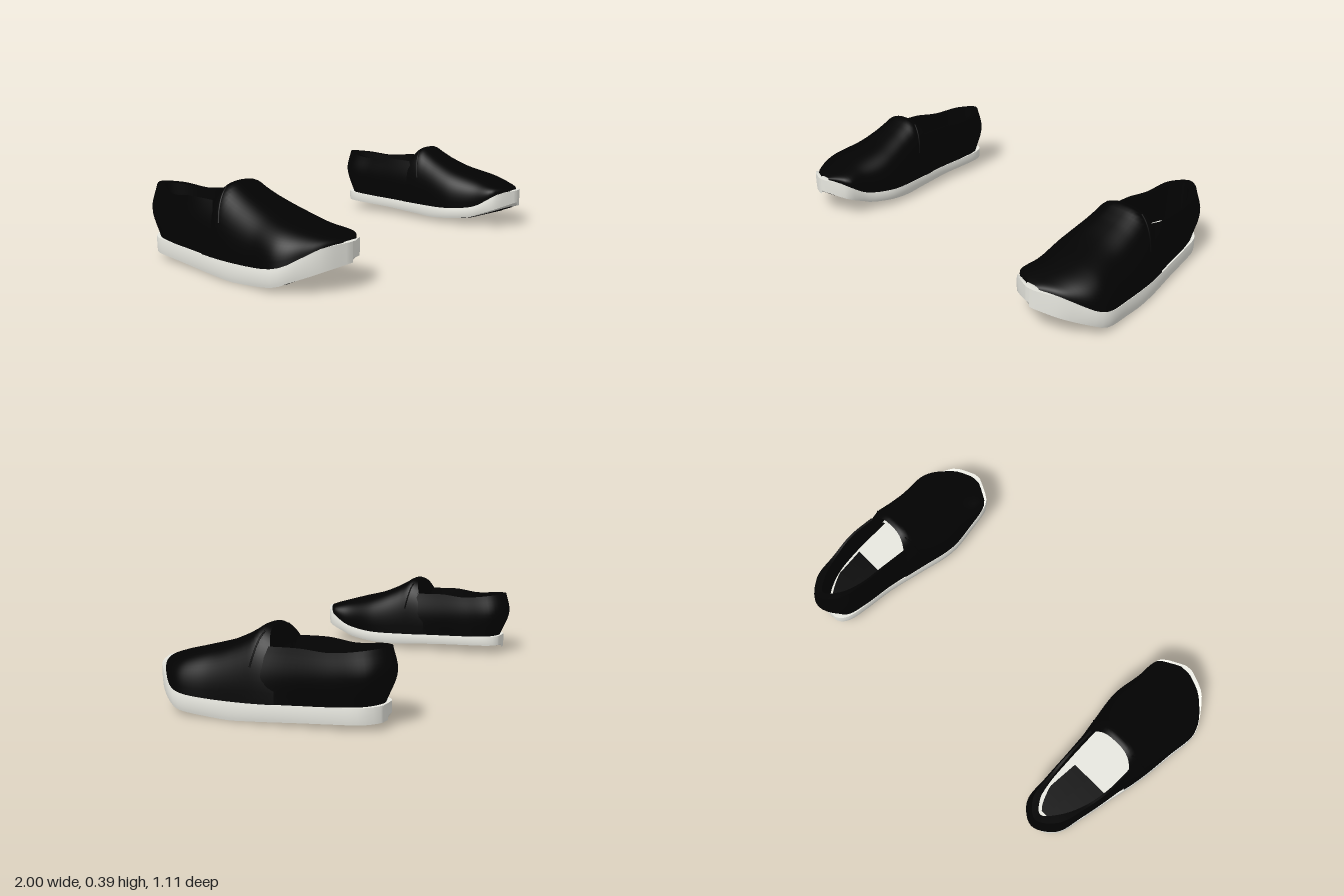
import * as THREE from 'three';

const mat = (name, color) => {
  const m = new THREE.MeshStandardMaterial({ color, side: THREE.DoubleSide });
  m.name = name;
  return m;
};

// Smooth interpolation through [z, value] pairs
function table(pts) {
  const slope = (i) => {
    const a = pts[Math.max(i - 1, 0)], b = pts[Math.min(i + 1, pts.length - 1)];
    return (b[1] - a[1]) / (b[0] - a[0]);
  };
  return (z) => {
    z = Math.min(Math.max(z, pts[0][0]), pts[pts.length - 1][0]);
    let i = 0;
    while (i < pts.length - 2 && z > pts[i + 1][0]) i++;
    const [z0, y0] = pts[i], [z1, y1] = pts[i + 1], d = z1 - z0, t = (z - z0) / d;
    const t2 = t * t, t3 = t2 * t;
    return (2 * t3 - 3 * t2 + 1) * y0 + (t3 - 2 * t2 + t) * d * slope(i)
      + (3 * t2 - 2 * t3) * y1 + (t3 - t2) * d * slope(i + 1);
  };
}

// Outline and heights of the shoe along its length
const inner = table([[-.52, .72], [-.5, .685], [-.45, .66], [-.35, .65], [-.2, .642], [0, .61],
  [.2, .58], [.36, .6], [.45, .608], [.49, .625], [.52, .675], [.55, .74]]);
const outer = table([[-.52, .79], [-.5, .825], [-.45, .865], [-.35, .89], [-.2, .92], [0, .962],
  [.2, .985], [.32, 1], [.38, .985], [.45, .935], [.51, .87], [.55, .775]]);
const soleBottom = table([[-.53, .03], [-.3, .02], [0, .006], [.12, .001], [.34, .022], [.4, .045], [.46, .068], [.55, .105]]);
const soleTop = table([[-.53, .1], [-.2, .085], [.1, .08], [.25, .085], [.37, .105], [.45, .15], [.5, .18], [.55, .19]]);
const upperTop = table([[-.1, .345], [-.06, .368], [-.03, .382], [0, .388], [.04, .365], [.1, .333], [.2, .292],
  [.35, .25], [.5, .207], [.53, .195]]);
const centre = (z) => (inner(z) + outer(z)) / 2;
const half = (z) => (outer(z) - inner(z)) / 2;
const bottomAt = (z, u) => soleBottom(z) + .01 * (1 - u);
const mix = THREE.MathUtils.lerp;

// Grid surface from f(u, v) -> [x, y, z]
function surface(nu, nv, f, side) {
  const pos = [], idx = [];
  for (let i = 0; i <= nu; i++) for (let j = 0; j <= nv; j++) {
    const [x, y, z] = f(i / nu, j / nv);
    pos.push(x * side, y, z);
    if (i < nu && j < nv) {
      const a = i * (nv + 1) + j, b = a + nv + 1;
      if (side > 0) idx.push(a, b, a + 1, b, b + 1, a + 1);
      else idx.push(a, a + 1, b, b, a + 1, b + 1);
    }
  }
  const g = new THREE.BufferGeometry();
  g.setAttribute('position', new THREE.Float32BufferAttribute(pos, 3));
  g.setIndex(idx);
  g.computeVertexNormals();
  return g;
}

// Lengthwise position with close spacing at both ends
const along = (a, b, s) => mix(a, b, (1 - Math.cos(Math.PI * s)) / 2);

// Sole wall on one side (e = -1 or 1), slightly bulged
const soleSide = (e) => (s, v) => {
  const z = along(-.518, .55, s), closed = s === 0 || s === 1;
  const bulge = .94 + .06 * Math.pow(Math.sin(Math.PI * (.1 + v * .7)), .6);
  const h = closed ? 0 : half(z) * bulge;
  return [centre(z) + e * h, mix(bottomAt(z, e), soleTop(z), v), z];
};
const soleFace = (v) => (s, t) => {
  const a = soleSide(-1)(s, v), b = soleSide(1)(s, v);
  return a.map((n, i) => mix(n, b[i], t));
};

// Dark tread pad on the underside
const pad = (z0, z1, width) => (s, t) => {
  const z = along(z0, z1, s), u = (t * 2 - 1) * width * Math.pow(Math.sin(Math.PI * s), .6);
  return [centre(z) + u * half(z), bottomAt(z, u) - .004, z];
};

// Arched vamp from the tongue edge to the toe, set back from the sole edge at the toe
const vamp = (s, t) => {
  const a = Math.PI * t, sn = Math.max(Math.sin(a), 0), cs = Math.cos(a);
  const z = mix(-.1 + .07 * sn * sn, .525, s);
  const edge = z + .018 * THREE.MathUtils.smoothstep(z, .38, .5);
  const base = soleTop(z) - .003, lift = Math.pow(sn, .72);
  const x = -Math.sign(cs) * Math.pow(Math.abs(cs), .72) * half(edge) * .972;
  return [centre(edge) - .015 * lift + x, base + Math.max(upperTop(z) - base, 0) * lift, z];
};

// Horseshoe loops around the heel, from the inner side to the outer side
const loop = (pts) => {
  const c = new THREE.CatmullRomCurve3(pts.map((p) => new THREE.Vector3(...p)));
  return (s) => c.getPoint(s);
};
const heelBase = loop([[.625, .083, -.03], [.648, .083, -.2], [.657, .088, -.35], [.68, .093, -.46], [.755, .098, -.505],
  [.837, .093, -.46], [.88, .088, -.35], [.91, .083, -.2], [.948, .083, -.03]]);
const heelMid = loop([[.622, .2, -.03], [.636, .2, -.2], [.646, .21, -.35], [.664, .22, -.49], [.755, .23, -.555],
  [.855, .22, -.49], [.892, .21, -.35], [.92, .2, -.2], [.94, .2, -.03]]);
const heelRim = loop([[.645, .312, -.06], [.65, .317, -.2], [.659, .307, -.33], [.68, .323, -.47], [.755, .332, -.535],
  [.838, .323, -.47], [.88, .307, -.33], [.903, .317, -.2], [.905, .312, -.06]]);
const liningRim = loop([[.655, .308, -.05], [.66, .314, -.2], [.672, .304, -.33], [.7, .318, -.44], [.755, .326, -.502],
  [.815, .318, -.44], [.866, .304, -.33], [.893, .314, -.2], [.895, .308, -.05]]);
const liningBase = loop([[.648, .135, .02], [.657, .135, -.2], [.67, .135, -.35], [.698, .135, -.445], [.755, .135, -.505],
  [.817, .135, -.445], [.868, .135, -.35], [.9, .135, -.2], [.92, .135, .02]]);
const heelWall = (s, v) => new THREE.CatmullRomCurve3([heelBase(s), heelMid(s), heelRim(s)]).getPoint(v).toArray();
const between = (a, b) => (s, v) => a(s).lerp(b(s), v).toArray();

// Footbed bridging the lining from one side to the other, and the dark insole lying on it
const footbed = (s, t) => liningBase(s / 2).lerp(liningBase(1 - s / 2), t).toArray();
const insole = (s, t) => {
  const z = mix(-.46, -.19, s), w = .097 * Math.pow(Math.min(.08 + s * 2.2, 1), .5) * (.88 + .12 * s);
  return [mix(.76, .79, s) + (t * 2 - 1) * w, .141, z];
};

function buildShoe(side, black, white) {
  const shoe = new THREE.Group();
  shoe.name = side > 0 ? 'leftShoe' : 'rightShoe';
  const add = (name, material, nu, nv, f) => {
    const m = new THREE.Mesh(surface(nu, nv, f, side), material);
    m.name = name;
    shoe.add(m);
  };

  add('soleInnerWall', white, 40, 8, soleSide(-1));
  add('soleOuterWall', white, 40, 8, soleSide(1));
  add('soleUnderside', white, 40, 4, soleFace(0));
  add('soleTopFace', white, 40, 4, soleFace(1));
  add('forefootTread', black, 24, 8, pad(-.07, .515, .83));
  add('heelTread', black, 20, 8, pad(-.465, -.15, .7));

  add('vamp', black, 40, 32, vamp);
  add('heelCounter', black, 48, 12, heelWall);
  add('collar', black, 48, 2, between(heelRim, liningRim));
  add('collarLining', black, 48, 4, between(liningRim, liningBase));
  add('footbed', white, 24, 2, footbed);
  add('insole', black, 16, 2, insole);

  // Raised seams of the elastic gores
  for (const [t0, t1] of [[.12, .36], [.88, .64]]) {
    const pts = [0, 1, 2, 3, 4].map((i) => {
      const [x, y, z] = vamp(.16 - .03 * i, mix(t0, t1, i / 4));
      return new THREE.Vector3(x * side, y, z);
    });
    const seam = new THREE.Mesh(new THREE.TubeGeometry(new THREE.CatmullRomCurve3(pts), 16, .004, 6), black);
    seam.name = 'goreSeam';
    shoe.add(seam);
  }
  return shoe;
}

export function createModel() {
  const model = new THREE.Group();
  model.name = 'slipOnShoes';
  const black = mat('black canvas', 0x020202), white = mat('off-white rubber', 0xf4f4ec);
  for (const side of [1, -1]) model.add(buildShoe(side, black, white));
  return model;
}
